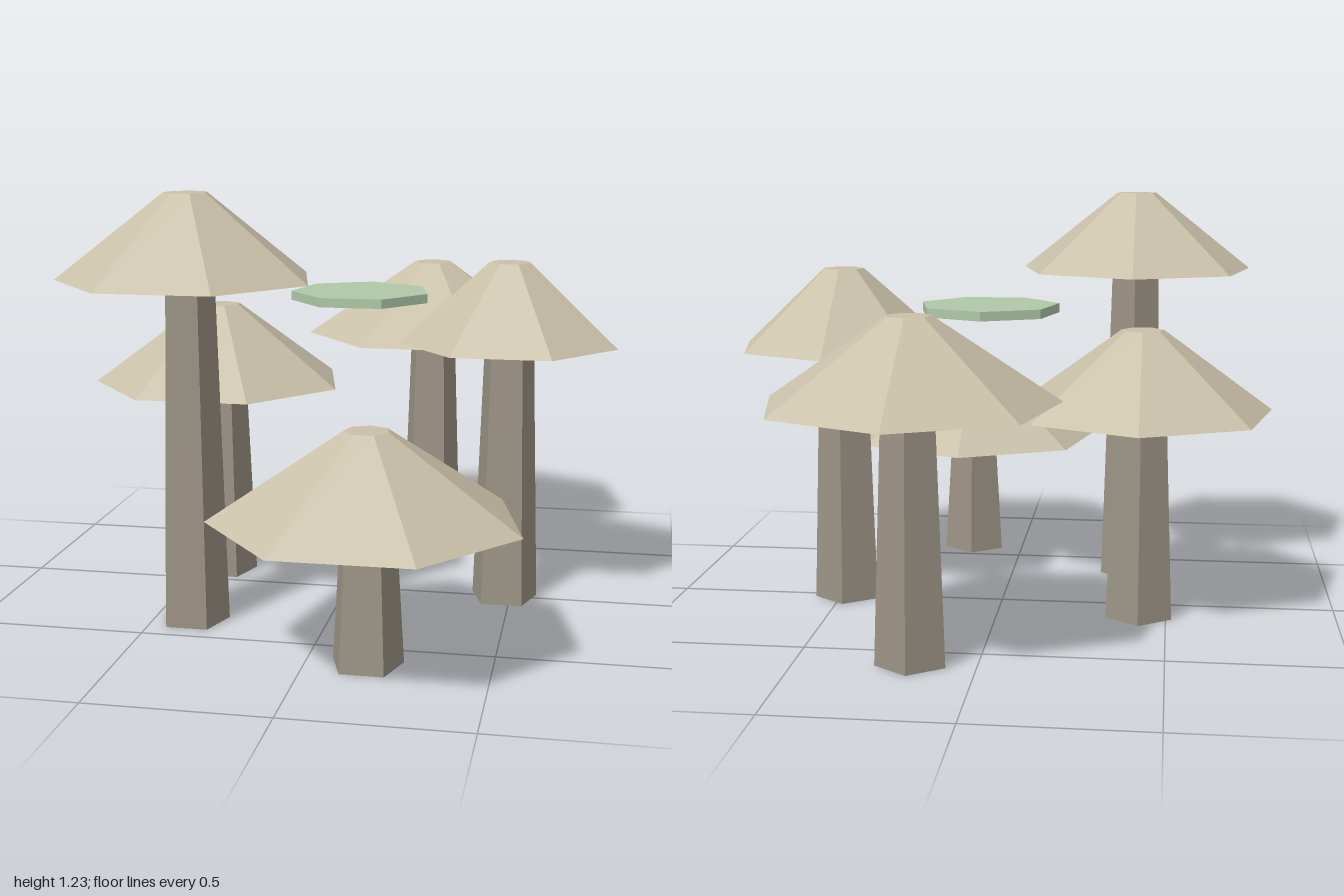
import * as THREE from 'three';

// [x, z, cap radius, cap base y, cap top y]
const MUSHROOMS = [
  [0.18, -0.59, 0.41, 0.71, 0.945],
  [-0.42, -0.11, 0.388, 0.615, 0.855],
  [-0.385, 0.36, 0.368, 0.99, 1.23],
  [0.48, 0, 0.324, 0.78, 1.015],
  [0.165, 0.615, 0.426, 0.4, 0.64],
];

export function createModel() {
  const capMat = new THREE.MeshStandardMaterial({ color: 0xc9c0a9, flatShading: true });
  capMat.name = 'pale beige';
  const stemMat = new THREE.MeshStandardMaterial({ color: 0x9c9385, flatShading: true });
  stemMat.name = 'stone brown';
  const padMat = new THREE.MeshStandardMaterial({ color: 0xafc8a8, flatShading: true });
  padMat.name = 'soft green';

  const model = new THREE.Group();
  model.name = 'mushroomCluster';

  // Faceted frustum between two heights, with one corner pointing to the back
  const frustum = (name, mat, sides, rTop, rBottom, y0, y1) => {
    const geo = new THREE.CylinderGeometry(rTop, rBottom, y1 - y0, sides, 1, false, Math.PI);
    const mesh = new THREE.Mesh(geo, mat);
    mesh.name = name;
    mesh.position.y = (y0 + y1) / 2;
    return mesh;
  };

  // Mushrooms: tapered five-sided stem under a seven-sided cap
  for (const [x, z, radius, base, top] of MUSHROOMS) {
    const mushroom = new THREE.Group();
    mushroom.name = 'mushroom';
    mushroom.position.set(x, 0, z);
    mushroom.add(
      frustum('stem', stemMat, 5, 0.073, 0.102, 0, base + 0.08),
      frustum('cap', capMat, 7, 0.062, radius, base, top),
    );
    model.add(mushroom);
  }

  // Floating green pad between the caps
  const pad = frustum('pad', padMat, 7, 0.21, 0.21, 0.89, 0.917);
  pad.position.x = 0.035;
  pad.position.z = -0.04;
  model.add(pad);

  return model;
}
